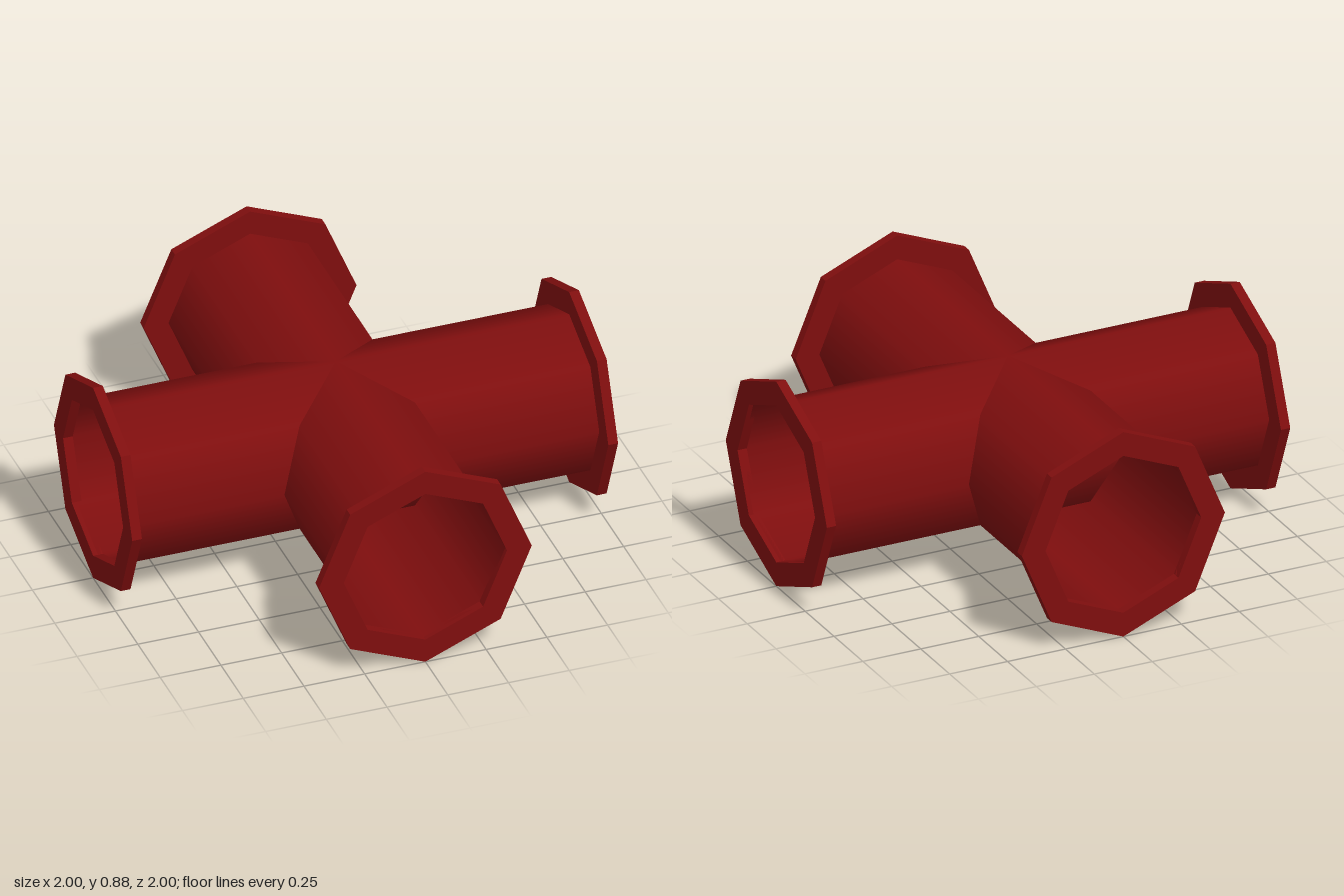
import * as THREE from 'three';

const SIDES = 8, PIPE_R = 0.336, FLANGE_R = 0.438, THICK = 0.04, CENTRE_Y = 0.438;

// Octagon with a corner pointing straight up
function octagon(radius) {
  return Array.from({ length: SIDES }, (_, i) => {
    const a = (i / SIDES) * Math.PI * 2;
    return new THREE.Vector2(Math.cos(a) * radius, Math.sin(a) * radius);
  });
}

export function createModel() {
  const model = new THREE.Group();
  model.name = 'pipeCross';

  const red = new THREE.MeshStandardMaterial({ color: 0x7f0e0e, side: THREE.DoubleSide });
  red.name = 'red';

  // Open smooth-sided tube lying along z
  const pipeGeometry = new THREE.CylinderGeometry(PIPE_R, PIPE_R, 2 - THICK, SIDES, 1, true);
  pipeGeometry.rotateX(Math.PI / 2);

  // Flat octagonal ring
  const ring = new THREE.Shape(octagon(FLANGE_R));
  ring.holes.push(new THREE.Path(octagon(PIPE_R).reverse()));
  const flangeGeometry = new THREE.ExtrudeGeometry(ring, { depth: THICK, bevelEnabled: false });
  flangeGeometry.translate(0, 0, 1 - THICK);

  // Two through pipes crossing at right angles
  ['frontBackPipe', 'leftRightPipe'].forEach((name, i) => {
    const pipe = new THREE.Mesh(pipeGeometry, red);
    pipe.name = name;
    pipe.rotation.y = i * Math.PI / 2;
    pipe.position.y = CENTRE_Y;
    model.add(pipe);
  });

  // One flange on each open end
  ['frontFlange', 'leftFlange', 'backFlange', 'rightFlange'].forEach((name, i) => {
    const flange = new THREE.Mesh(flangeGeometry, red);
    flange.name = name;
    flange.rotation.y = i * Math.PI / 2;
    flange.position.y = CENTRE_Y;
    model.add(flange);
  });

  return model;
}
